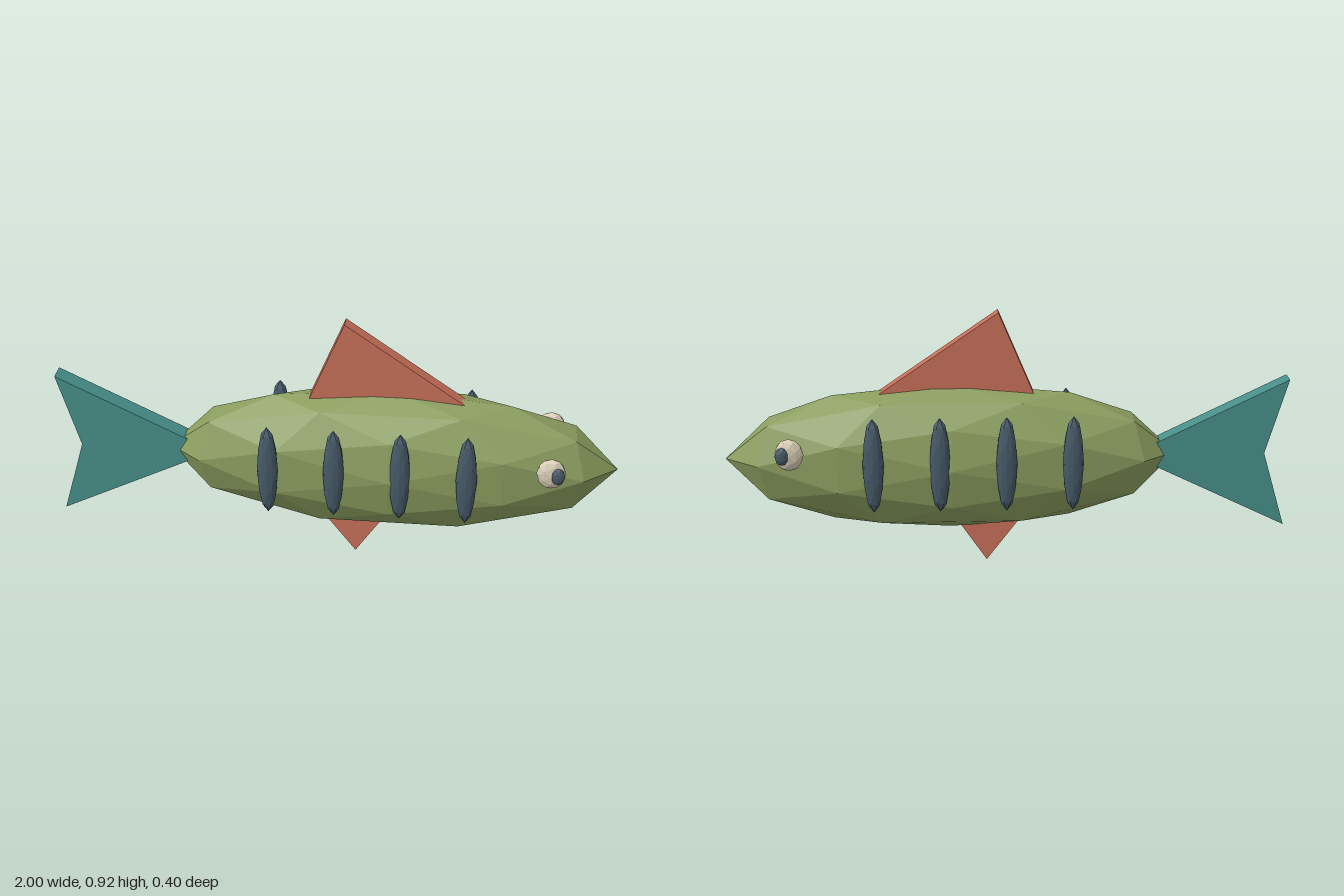
import * as THREE from 'three';

const material = (name, color) => {
  const m = new THREE.MeshStandardMaterial({ color, flatShading: true });
  m.name = name;
  return m;
};

export function createModel() {
  const model = new THREE.Group();
  model.name = 'fish';

  const green = material('olive green', 0x8c9e60);
  const coral = material('coral', 0xc8705a);
  const teal = material('teal', 0x488f8a);
  const slate = material('dark slate', 0x465a68);
  const cream = material('cream', 0xd8ccb4);

  // Faceted ellipsoid given by its centre and half sizes
  const ellipsoid = (name, mat, centre, half) => {
    const mesh = new THREE.Mesh(new THREE.IcosahedronGeometry(1, 1).scale(...half), mat);
    mesh.position.set(...centre);
    mesh.name = name;
    model.add(mesh);
  };

  // Flat fin cut from an outline in the xy plane, centred on z = 0
  const fin = (name, mat, points, thickness) => {
    const shape = new THREE.Shape(points.map(([x, y]) => new THREE.Vector2(x, y)));
    const geometry = new THREE.ExtrudeGeometry(shape, { depth: thickness, bevelEnabled: false });
    geometry.translate(0, 0, -thickness / 2);
    const mesh = new THREE.Mesh(geometry, mat);
    mesh.name = name;
    model.add(mesh);
  };

  ellipsoid('body', green, [0.197, 0.39, 0], [0.8, 0.269, 0.19]);

  fin('tailFin', teal, [[-1, 0.12], [-0.44, 0.392], [-1, 0.664], [-0.92, 0.392]], 0.07);
  fin('dorsalFin', coral, [[-0.104, 0.6], [0.49, 0.6], [0.03, 0.917]], 0.053);
  fin('bellyFin', coral, [[-0.08, 0.2], [0.073, 0], [0.21, 0.2]], 0.053);

  // Stripes and eyes on both sides
  for (const side of [1, -1]) {
    for (let i = 0; i < 4; i++) {
      ellipsoid('stripe', slate, [-0.224 + i * 0.2315, 0.413, side * 0.175], [0.037, 0.171, 0.025]);
    }
    ellipsoid('eye', cream, [0.76, 0.455, side * 0.166], [0.051, 0.058, 0.026]);
    ellipsoid('pupil', slate, [0.783, 0.456, side * 0.186], [0.024, 0.032, 0.014]);
  }

  return model;
}
